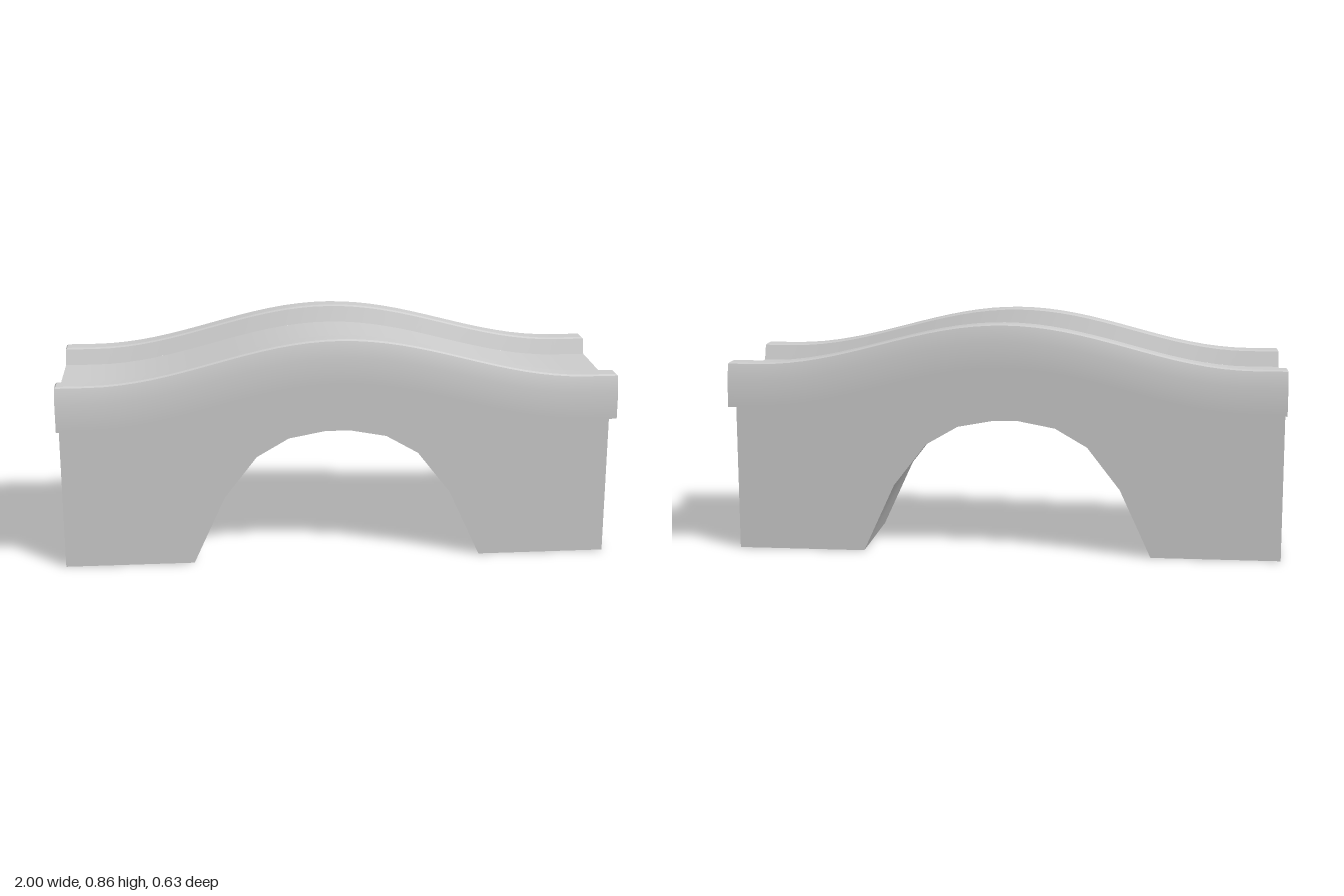
import * as THREE from 'three';
import { toCreasedNormals } from 'three/addons/utils/BufferGeometryUtils.js';

const HALF_WIDTH = 0.213; // half the width of the walkway
const SEGMENTS = 36;
const CREASE = 0.5;

// Height of the walkway: level at both ends, humped in the middle
function deckHeight(x) {
  const t = Math.min(Math.abs(x) / 0.89, 1);
  return 0.65 + 0.075 * (1 + Math.cos(Math.PI * t));
}

// Arched body, with the walkway as its top face
function bodyGeometry() {
  const arch = [[0.53, 0], [0.415, 0.25], [0.295, 0.405], [0.178, 0.473], [0.045, 0.498]];
  const points = arch.map(([x, y]) => new THREE.Vector2(-x, y));
  for (const [x, y] of [...arch].reverse()) points.push(new THREE.Vector2(x, y));
  points.push(new THREE.Vector2(1, 0));
  for (let i = 0; i <= SEGMENTS; i++) {
    const x = 1 - (2 * i) / SEGMENTS;
    points.push(new THREE.Vector2(x, deckHeight(x)));
  }
  points.push(new THREE.Vector2(-1, 0));
  const geometry = new THREE.ExtrudeGeometry(new THREE.Shape(points), {
    depth: 2 * HALF_WIDTH, bevelEnabled: false,
  });
  geometry.translate(0, 0, -HALF_WIDTH);
  return toCreasedNormals(geometry, CREASE);
}

// Parapet: one cross-section (z, height above walkway) swept along the hump
function parapetGeometry() {
  const profile = [
    [HALF_WIDTH, -0.1], [0.317, -0.1], [0.317, 0], [0.3, 0.056],
    [0.293, 0.061], [0.24, 0.061], [0.233, 0.056], [HALF_WIDTH, 0],
  ];
  const n = profile.length;
  const xs = [-1];
  for (let i = 0; i <= SEGMENTS; i++) xs.push(0.995 * (-1 + (2 * i) / SEGMENTS));
  xs.push(1);

  const positions = [];
  const index = [];
  for (const x of xs) {
    // the top edge is slightly chamfered at both ends
    const limit = Math.abs(x) === 1 ? 0.056 : 1;
    for (const [z, h] of profile) positions.push(x, deckHeight(x) + Math.min(h, limit), z);
  }
  for (let i = 0; i < xs.length - 1; i++) {
    for (let j = 0; j < n - 1; j++) {
      const a = i * n + j, b = a + n;
      index.push(a, b, b + 1, a, b + 1, a + 1);
    }
  }
  // end caps
  const last = (xs.length - 1) * n;
  for (let j = 1; j < n - 1; j++) {
    index.push(0, j, j + 1, last, last + j + 1, last + j);
  }
  const geometry = new THREE.BufferGeometry();
  geometry.setAttribute('position', new THREE.Float32BufferAttribute(positions, 3));
  geometry.setIndex(index);
  return toCreasedNormals(geometry, CREASE);
}

export function createModel() {
  const model = new THREE.Group();
  model.name = 'archBridge';
  const stone = new THREE.MeshStandardMaterial({ color: 0xcccccc });
  stone.name = 'light grey stone';

  const body = new THREE.Mesh(bodyGeometry(), stone);
  body.name = 'archedBody';
  model.add(body);

  // matching parapets on the front and back
  const parapet = parapetGeometry();
  ['frontParapet', 'backParapet'].forEach((name, i) => {
    const mesh = new THREE.Mesh(parapet, stone);
    mesh.name = name;
    mesh.rotation.y = i * Math.PI;
    model.add(mesh);
  });
  return model;
}
